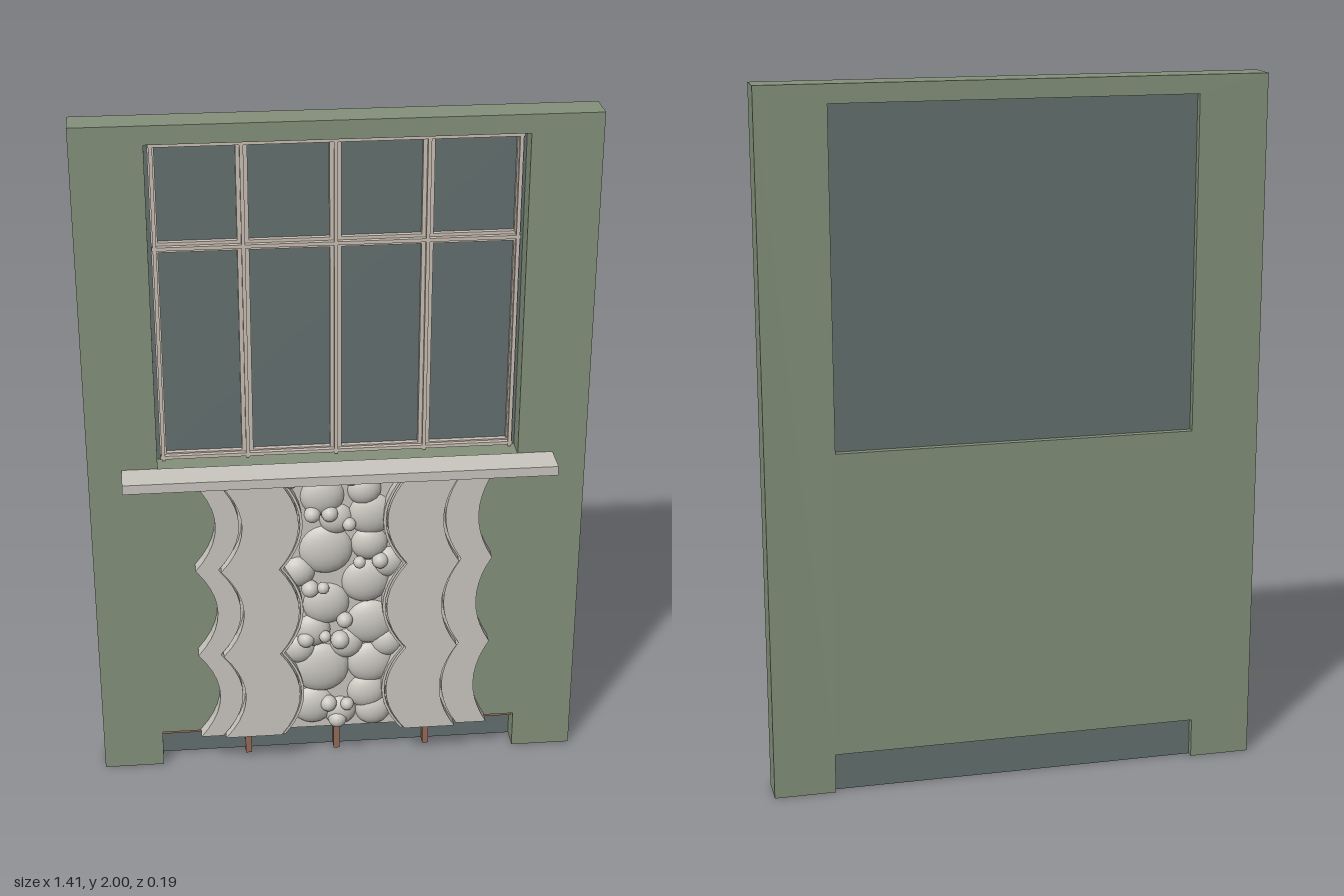
import * as THREE from 'three';

const mat = (name, color) => {
  const m = new THREE.MeshStandardMaterial({ color });
  m.name = name;
  return m;
};

export function createModel() {
  const green = mat('green plaster', 0x84917a);
  const glass = mat('dark glass', 0x64706f);
  const stone = mat('pale stone', 0xcac7c0);
  const paint = mat('frame paint', 0xcabfb5);
  const rust = mat('rust metal', 0x966a58);
  const root = new THREE.Group();
  root.name = 'windowWall';

  const add = (parent, name, geo, material) => {
    const m = new THREE.Mesh(geo, material);
    m.name = name;
    parent.add(m);
    return m;
  };
  // Box given by its extents
  const box = (parent, name, material, x0, x1, y0, y1, z0, z1) => {
    const m = add(parent, name, new THREE.BoxGeometry(x1 - x0, y1 - y0, z1 - z0), material);
    m.position.set((x0 + x1) / 2, (y0 + y1) / 2, (z0 + z1) / 2);
    return m;
  };
  const group = (name) => {
    const g = new THREE.Group();
    g.name = name;
    root.add(g);
    return g;
  };
  const poly = (pts) => pts.map(([x, y]) => new THREE.Vector2(x, y));

  // Wall with a window opening and a notch at the foot
  const wall = new THREE.Shape(poly([
    [-0.705, 0], [-0.53, 0], [-0.53, 0.115], [0.53, 0.115], [0.53, 0],
    [0.705, 0], [0.705, 2], [-0.705, 2],
  ]));
  wall.holes.push(new THREE.Path(poly([[-0.51, 1], [-0.51, 1.948], [0.51, 1.948], [0.51, 1]])));
  const wallGeo = new THREE.ExtrudeGeometry(wall, { depth: 0.095, bevelEnabled: false });
  add(root, 'wall', wallGeo.translate(0, 0, -0.095), green);

  // Upper window: glass, then broad bars each carrying a narrow ridge
  const win = group('window');
  box(win, 'windowGlass', glass, -0.51, 0.51, 1, 1.948, -0.075, -0.065);
  for (const x of [-0.492, -0.254, -0.004, 0.246, 0.492]) {
    const w = Math.abs(x) > 0.4 ? 0.009 : 0.016;
    box(win, 'uprightBar', paint, x - w, x + w, 1.008, 1.942, -0.066, -0.05);
    box(win, 'uprightRidge', paint, x - 0.005, x + 0.005, 1.008, 1.942, -0.05, -0.037);
  }
  for (const y of [1.017, 1.643, 1.933]) {
    const h = y === 1.643 ? 0.014 : 0.009;
    box(win, 'crossBar', paint, -0.5, 0.5, y - h, y + h, -0.066, -0.0505);
    box(win, 'crossRidge', paint, -0.5, 0.5, y - 0.005, y + 0.005, -0.0505, -0.0375);
  }

  // Sill
  box(root, 'sill', stone, -0.61, 0.61, 0.975, 1.003, 0, 0.093);

  // Low vent window in the notch
  const vent = group('footWindow');
  box(vent, 'footGlass', glass, -0.53, 0.53, 0, 0.115, -0.075, -0.065);
  box(vent, 'topRail', rust, -0.53, 0.53, 0.085, 0.115, -0.065, -0.035);
  for (const x of [-0.272, -0.004, 0.268]) {
    box(vent, 'footPost', rust, x - 0.009, x + 0.009, 0, 0.085, -0.065, -0.035);
  }

  // Scalloped relief: each edge is three arcs meeting in cusps
  const relief = group('relief');
  const Y0 = 0.12, PERIOD = 0.285, STEPS = 10;
  const edge = (cusp, mid, shift = 0) => {
    const pts = [];
    for (let i = 0; i <= 3 * STEPS; i++) {
      const t = (i % STEPS) / STEPS;
      pts.push([cusp + shift + (mid - cusp) * (1 - (2 * t - 1) ** 2), Y0 + (PERIOD * i) / STEPS]);
    }
    return pts;
  };
  const strip = (name, leftEdge, rightEdge, depth) => {
    const shape = new THREE.Shape(poly([...rightEdge, ...leftEdge.slice().reverse()]));
    add(relief, name, new THREE.ExtrudeGeometry(shape, { depth, bevelEnabled: false }), stone);
  };
  // Backing behind the grooves and pebbles
  strip('backing', edge(-0.4, -0.34), edge(0.425, 0.38), 0.02);
  // Left side: outer fin, broad panel, inner lip
  strip('outerFin', edge(-0.415, -0.355), edge(-0.35, -0.288), 0.042);
  strip('broadPanel', edge(-0.35, -0.288, 0.008), edge(-0.165, -0.108, -0.012), 0.055);
  strip('innerLip', edge(-0.165, -0.108, -0.008), edge(-0.165, -0.108), 0.05);
  // Right side
  strip('outerFin', edge(0.35, 0.302), edge(0.44, 0.397), 0.042);
  strip('broadPanel', edge(0.18, 0.122, 0.012), edge(0.35, 0.302, -0.008), 0.055);
  strip('innerLip', edge(0.18, 0.122), edge(0.18, 0.122, 0.008), 0.05);

  // Flat cobbles: x, y, radius
  const cobbles = [
    [-0.04, 0.73, 0.08], [0.09, 0.84, 0.068], [-0.05, 0.905, 0.065], [0.07, 0.92, 0.05],
    [0.085, 0.745, 0.055], [-0.04, 0.55, 0.07], [0.075, 0.62, 0.072], [0.09, 0.48, 0.075],
    [-0.055, 0.33, 0.085], [0.09, 0.34, 0.07], [-0.08, 0.2, 0.065], [0.08, 0.24, 0.06],
    [0.1, 0.175, 0.055], [-0.01, 0.83, 0.05], [0.0, 0.175, 0.05], [-0.08, 0.46, 0.055],
    [-0.12, 0.66, 0.05], [0.02, 0.41, 0.05], [-0.12, 0.4, 0.05], [0.14, 0.41, 0.05],
    [0.14, 0.68, 0.05],
  ];
  for (const [x, y, r] of cobbles) {
    const m = add(relief, 'cobble', new THREE.SphereGeometry(r, 18, 12), stone);
    m.position.set(x, y, 0.012);
    m.scale.z = 0.036 / r;
  }
  // Small round pebbles
  const pebbles = [
    [-0.08, 0.855, 0.024], [-0.03, 0.855, 0.024], [0.025, 0.82, 0.02], [0.055, 0.695, 0.018],
    [0.115, 0.695, 0.024], [-0.087, 0.61, 0.026], [-0.05, 0.615, 0.018], [0.013, 0.5, 0.024],
    [-0.1, 0.44, 0.025], [-0.045, 0.45, 0.018], [0, 0.43, 0.028], [-0.035, 0.212, 0.025],
    [0.02, 0.21, 0.02], [-0.008, 0.155, 0.028], [-0.14, 0.965, 0.02], [0.03, 0.965, 0.02],
  ];
  for (const [x, y, r] of pebbles) {
    add(relief, 'pebble', new THREE.SphereGeometry(r, 14, 10), stone).position.set(x, y, 0.061 - r);
  }
  return root;
}
